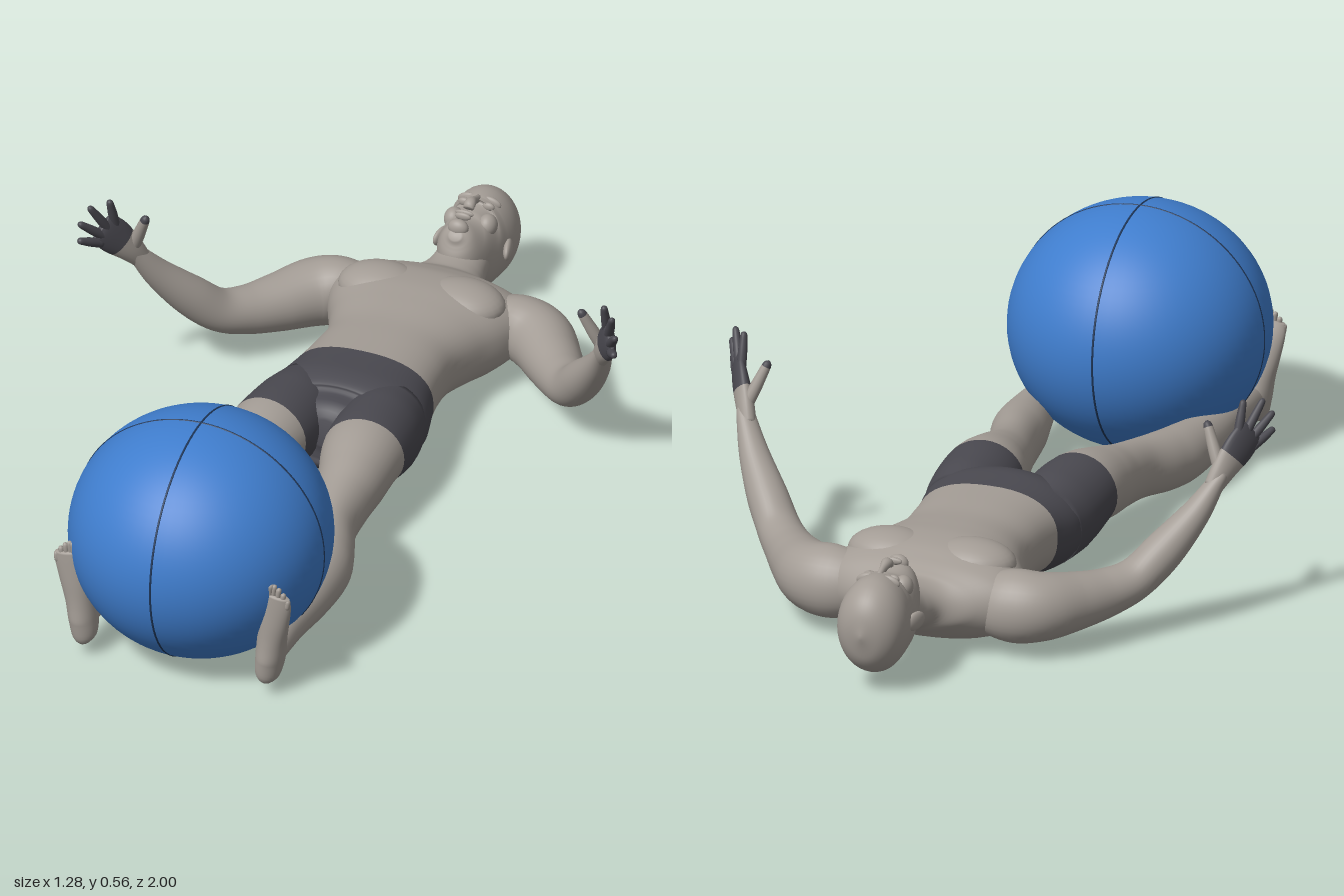
import * as THREE from 'three';

const mat = (name, color) => {
  const m = new THREE.MeshStandardMaterial({ color });
  m.name = name;
  return m;
};
const SHORTS_FROM = -0.226, SHORTS_TO = 0.046;

// Smooth skin through elliptical stations [x, y, z, halfWidth, halfDepth, exponent]
function loft(stations, side, steps = 6, sides = 32) {
  const path = new THREE.CatmullRomCurve3(stations.map(s => new THREE.Vector3(s[0], s[1], s[2])), false, 'catmullrom');
  const size = new THREE.CatmullRomCurve3(stations.map(s => new THREE.Vector3(s[3], s[4], s[5] ?? 2)), false, 'catmullrom');
  const rows = (stations.length - 1) * steps;
  const pos = [], skinFaces = [], shortsFaces = [], rowZ = [];
  for (let i = 0; i <= rows; i++) {
    const p = path.getPoint(i / rows), r = size.getPoint(i / rows), t = path.getTangent(i / rows);
    const u = side.clone().addScaledVector(t, -side.dot(t)).normalize();
    const v = new THREE.Vector3().crossVectors(t, u);
    const bend = c => Math.sign(c) * Math.abs(c) ** (2 / r.z);
    rowZ.push(p.z);
    for (let j = 0; j < sides; j++) {
      const a = j / sides * Math.PI * 2;
      const q = p.clone()
        .addScaledVector(u, bend(Math.cos(a)) * Math.max(r.x, 0.001))
        .addScaledVector(v, bend(Math.sin(a)) * Math.max(r.y, 0.001));
      pos.push(q.x, q.y, q.z);
    }
  }
  const facesAt = z => (z > SHORTS_FROM && z < SHORTS_TO ? shortsFaces : skinFaces);
  for (let i = 0; i < rows; i++) {
    const out = facesAt((rowZ[i] + rowZ[i + 1]) / 2);
    for (let j = 0; j < sides; j++) {
      const k = (j + 1) % sides, a = i * sides, b = a + sides;
      out.push(a + j, a + k, b + j, a + k, b + k, b + j);
    }
  }
  // end caps
  const first = pos.length / 3, last = rows * sides;
  pos.push(...path.getPoint(0).toArray(), ...path.getPoint(1).toArray());
  for (let j = 0; j < sides; j++) {
    const k = (j + 1) % sides;
    facesAt(rowZ[0]).push(first, k, j);
    facesAt(rowZ[rows]).push(first + 1, last + j, last + k);
  }
  const g = new THREE.BufferGeometry();
  g.setAttribute('position', new THREE.Float32BufferAttribute(pos, 3));
  g.setIndex([...skinFaces, ...shortsFaces]);
  g.addGroup(0, skinFaces.length, 0);
  g.addGroup(skinFaces.length, shortsFaces.length, 1);
  g.computeVertexNormals();
  return g;
}

export function createModel() {
  const model = new THREE.Group();
  const skin = mat('skin', 0xa39c95), shorts = mat('shorts', 0x4a4950);
  const blue = mat('ballBlue', 0x3f7dcd), dark = mat('seamDark', 0x1d3557);
  const X = new THREE.Vector3(1, 0, 0);

  const add = (name, geo, material, parent = model) => {
    const m = new THREE.Mesh(geo, material);
    m.name = name;
    parent.add(m);
    return m;
  };
  const body = (name, stations, side = X, steps, sides) =>
    add(name, loft(stations, side, steps, sides), [skin, shorts]);
  const blob = (name, p, r) => {
    const m = add(name, new THREE.SphereGeometry(1, 28, 18), skin);
    m.position.set(...p);
    m.scale.set(...r);
    return m;
  };

  // Exercise ball with two crossing seams
  const ball = new THREE.Group();
  ball.name = 'ball';
  ball.position.set(0, 0.294, 0.706);
  ball.scale.set(1, 0.945, 1);
  model.add(ball);
  add('ballSurface', new THREE.SphereGeometry(0.293, 64, 40), blue, ball);
  for (const turn of [0, Math.PI / 2])
    add('ballSeam', new THREE.TorusGeometry(0.2915, 0.003, 8, 96), dark, ball).rotation.y = turn;

  // Torso from crotch to neck
  body('torso', [
    [0, 0.15, 0.0, 0.03, 0.03], [0, 0.145, -0.02, 0.1, 0.07], [0, 0.13, -0.06, 0.165, 0.1],
    [0, 0.127, -0.13, 0.187, 0.115, 2.2], [0, 0.135, -0.226, 0.166, 0.104, 2.4],
    [0, 0.137, -0.3, 0.157, 0.1, 2.4], [0, 0.133, -0.38, 0.156, 0.102, 2.4],
    [0, 0.13, -0.46, 0.18, 0.109, 2.4], [0, 0.128, -0.53, 0.212, 0.113, 2.4],
    [0, 0.128, -0.6, 0.235, 0.106, 2.3], [0, 0.13, -0.65, 0.225, 0.088, 2.2],
    [0, 0.133, -0.69, 0.155, 0.067, 2], [0, 0.138, -0.72, 0.088, 0.056],
    [0, 0.143, -0.76, 0.067, 0.055], [0, 0.155, -0.81, 0.06, 0.06]
  ], X, 6, 48);

  // Head, face upward
  body('head', [
    [0, 0.24, -0.749, 0.014, 0.012], [0, 0.229, -0.762, 0.037, 0.035], [0, 0.198, -0.788, 0.056, 0.072],
    [0, 0.167, -0.83, 0.068, 0.103], [0, 0.158, -0.87, 0.074, 0.109], [0, 0.158, -0.92, 0.079, 0.11],
    [0, 0.157, -0.96, 0.069, 0.092], [0, 0.156, -0.986, 0.044, 0.06], [0, 0.155, -1.0, 0.004, 0.006]
  ], X, 6, 40);
  body('nose', [
    [0, 0.26, -0.885, 0.007, 0.008], [0, 0.268, -0.86, 0.008, 0.01],
    [0, 0.274, -0.837, 0.013, 0.012], [0, 0.266, -0.826, 0.012, 0.007]
  ], X, 5, 16);
  blob('upperLip', [0, 0.267, -0.803], [0.022, 0.008, 0.005]);
  blob('lowerLip', [0, 0.264, -0.794], [0.019, 0.009, 0.006]);
  blob('chin', [0, 0.25, -0.768], [0.024, 0.02, 0.016]);

  for (const s of [1, -1]) {
    const mir = list => list.map(([x, ...rest]) => [s * x, ...rest]);

    // Face and chest details
    blob('brow', [s * 0.03, 0.253, -0.89], [0.022, 0.012, 0.007]).rotation.z = -s * 0.3;
    blob('eye', [s * 0.029, 0.252, -0.872], [0.014, 0.01, 0.007]);
    blob('cheek', [s * 0.04, 0.225, -0.84], [0.022, 0.026, 0.025]);
    blob('ear', [s * 0.078, 0.158, -0.865], [0.01, 0.021, 0.033]).rotation.y = s * 0.25;
    blob('chestMuscle', [s * 0.095, 0.195, -0.56], [0.1, 0.05, 0.075]);

    // Leg
    body('leg', mir([
      [0.1, 0.127, -0.14, 0.085, 0.095], [0.104, 0.135, -0.06, 0.096, 0.1],
      [0.113, 0.15, 0.046, 0.093, 0.087], [0.125, 0.137, 0.14, 0.078, 0.08],
      [0.133, 0.124, 0.22, 0.064, 0.072], [0.148, 0.113, 0.31, 0.053, 0.068],
      [0.174, 0.103, 0.4, 0.059, 0.069], [0.19, 0.1, 0.47, 0.062, 0.066],
      [0.205, 0.101, 0.58, 0.05, 0.054], [0.215, 0.105, 0.7, 0.034, 0.04],
      [0.22, 0.107, 0.78, 0.029, 0.036], [0.222, 0.1, 0.845, 0.025, 0.03]
    ]));

    // Foot with toes pointing up
    body('foot', mir([
      [0.215, 0.045, 0.848, 0.008, 0.01], [0.217, 0.058, 0.85, 0.026, 0.03], [0.222, 0.1, 0.843, 0.032, 0.043],
      [0.228, 0.15, 0.848, 0.033, 0.036], [0.236, 0.2, 0.858, 0.035, 0.026],
      [0.245, 0.25, 0.867, 0.035, 0.016], [0.25, 0.277, 0.872, 0.029, 0.01]
    ]));
    for (let i = 0; i < 5; i++) {
      const x = 0.231 + i * 0.0105, tip = 0.306 - i * i * 0.0022, r = i ? 0.006 : 0.01;
      body('toe', mir([
        [x - 0.002, 0.25, 0.868, r, r], [x, tip - 0.02, 0.872, r, r],
        [x + 0.002, tip - 0.005, 0.872, r, r], [x + 0.002, tip, 0.872, r * 0.3, r * 0.3]
      ]), X, 4, 12);
    }

    // Arm, raised from the elbow
    const up = new THREE.Vector3(0, 1, 0.35);
    body('arm', mir([
      [0.15, 0.125, -0.61, 0.07, 0.06], [0.215, 0.125, -0.615, 0.082, 0.07], [0.27, 0.122, -0.59, 0.077, 0.075],
      [0.325, 0.12, -0.525, 0.065, 0.066], [0.375, 0.125, -0.46, 0.054, 0.056],
      [0.42, 0.145, -0.405, 0.047, 0.051], [0.468, 0.2, -0.355, 0.045, 0.046],
      [0.518, 0.27, -0.303, 0.033, 0.035], [0.55, 0.33, -0.265, 0.021, 0.025],
      [0.562, 0.355, -0.248, 0.015, 0.02]
    ]), up);

    // Hand: palm, four fingers and thumb
    const across = new THREE.Vector3(s * 0.4, -0.75, 0.53);
    body('palm', mir([
      [0.546, 0.322, -0.27, 0.022, 0.018], [0.563, 0.36, -0.244, 0.031, 0.02],
      [0.585, 0.4, -0.213, 0.04, 0.017], [0.6, 0.428, -0.19, 0.038, 0.012], [0.606, 0.438, -0.18, 0.03, 0.006]
    ]), across, 5, 24);
    const fingers = [
      ['indexFinger', [0.585, 0.445, -0.207], [0.588, 0.508, -0.185]],
      ['middleFinger', [0.597, 0.435, -0.192], [0.622, 0.503, -0.15]],
      ['ringFinger', [0.606, 0.42, -0.18], [0.638, 0.468, -0.13]],
      ['littleFinger', [0.611, 0.402, -0.172], [0.637, 0.427, -0.125]],
      ['thumb', [0.556, 0.365, -0.25], [0.515, 0.462, -0.222]]
    ];
    for (const [name, a, b] of fingers) {
      const r = name === 'thumb' ? 0.013 : 0.0095;
      const at = (t, k) => [...a.map((c, i) => c + (b[i] - c) * t), r * k, r * k];
      body(name, mir([at(-0.2, 1.1), at(0.3, 1.1), at(0.65, 0.95), at(0.92, 0.75), at(1, 0.2)]), across, 4, 14);
    }
  }
  return model;
}
